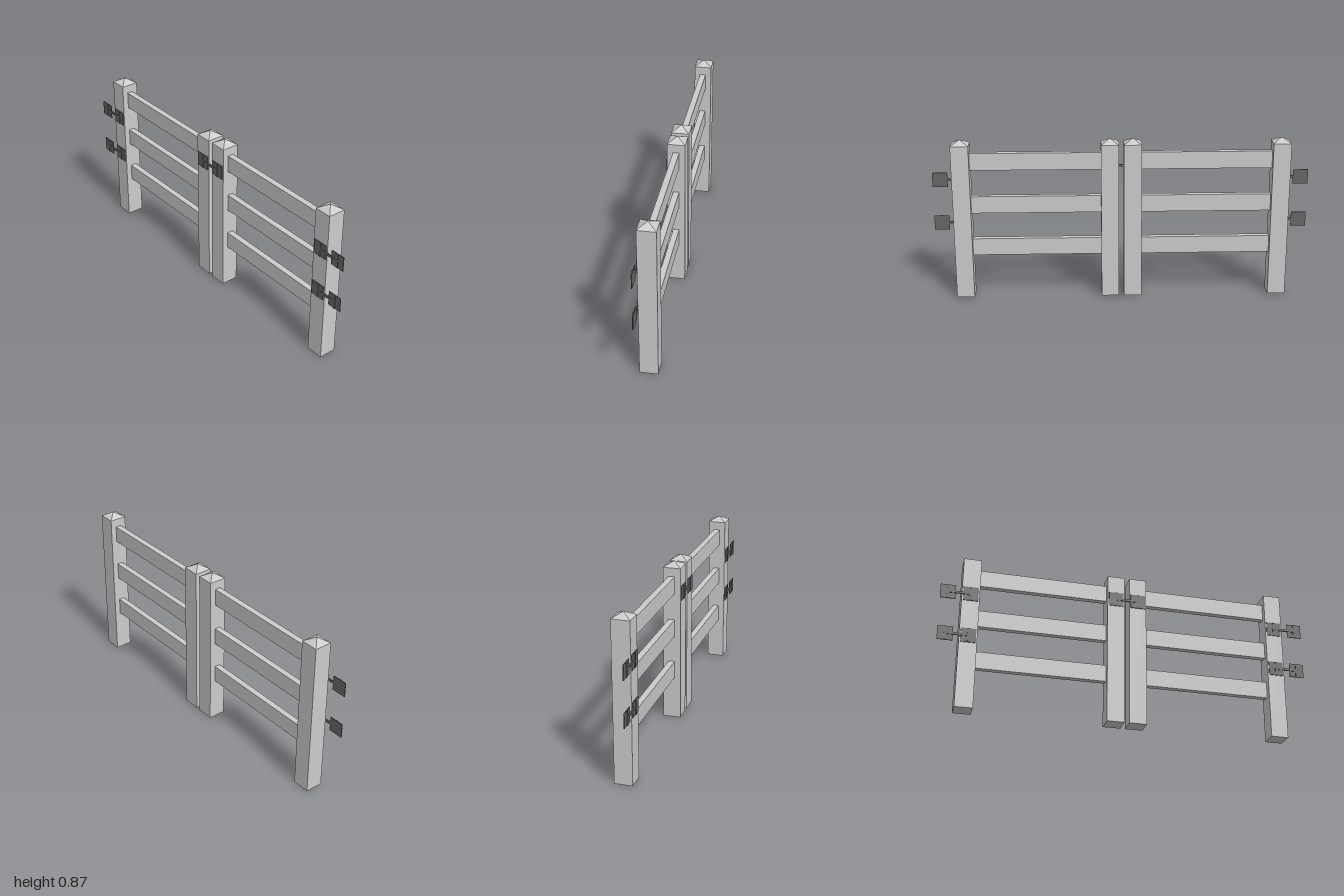
import * as THREE from 'three';

const wood = new THREE.MeshStandardMaterial({ color: 0xcccccc, flatShading: true });
const iron = new THREE.MeshStandardMaterial({ color: 0x666666, flatShading: true });

const CX = 0.003;      // centre line of the woodwork
const POST = 0.094;    // post width
const POST_H = 0.842;

function box(name, size, pos, material, parent) {
  const mesh = new THREE.Mesh(new THREE.BoxGeometry(...size), material);
  mesh.name = name;
  mesh.position.set(...pos);
  parent.add(mesh);
  return mesh;
}

// Square post with a shallow pyramid top
function makePost(z) {
  const post = new THREE.Group();
  post.name = 'post';
  box('postShaft', [POST, POST_H, POST], [0, POST_H / 2, 0], wood, post);
  const capGeo = new THREE.ConeGeometry(POST / Math.SQRT2, 0.026, 4, 1, true).rotateY(Math.PI / 4);
  const cap = new THREE.Mesh(capGeo, wood);
  cap.name = 'postCap';
  cap.position.y = POST_H + 0.013;
  post.add(cap);
  post.position.set(CX, 0, z);
  return post;
}

// Two thin square plates joined by a rod along z
function makeFitting(name, y, zA, zB) {
  const fitting = new THREE.Group();
  fitting.name = name;
  for (const z of [zA, zB]) {
    box('plate', [0.004, 0.078, 0.08], [-0.0465, y, z], iron, fitting);
    // raised rib down the middle of the plate
    box('plateRib', [0.003, 0.078, 0.012], [-0.05, y, z], iron, fitting);
  }
  box('rod', [0.007, 0.012, Math.abs(zB - zA)], [-0.048, y, (zA + zB) / 2], iron, fitting);
  return fitting;
}

export function createModel() {
  const gate = new THREE.Group();
  gate.name = 'doubleGate';

  for (const side of [1, -1]) {
    const leaf = new THREE.Group();
    leaf.name = side > 0 ? 'frontLeaf' : 'backLeaf';
    leaf.add(makePost(side * 0.841), makePost(side * 0.06));

    // Three rails between the posts
    for (const y of [0.278, 0.514, 0.75]) {
      box('rail', [0.032, 0.092, 0.7], [CX, y, side * 0.4505], wood, leaf);
    }

    // Hinges reaching past the outer post
    for (const y of [0.396, 0.635]) {
      leaf.add(makeFitting('hinge', y, side * 0.841, side * 0.96));
    }
    gate.add(leaf);
  }

  // Latch across the two middle posts
  gate.add(makeFitting('latch', 0.705, 0.06, -0.06));
  return gate;
}
